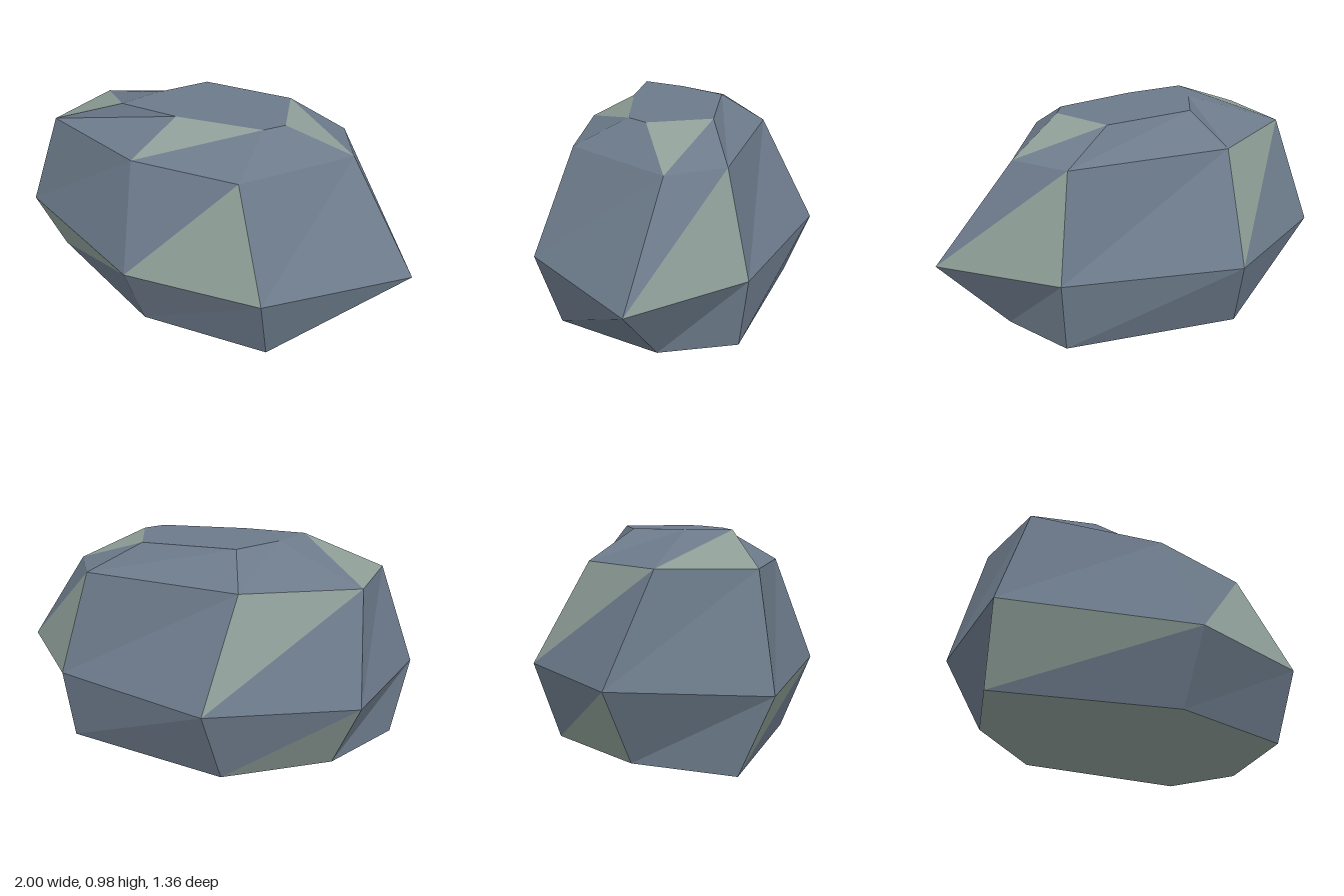
import * as THREE from 'three';

// Four seven-sided rings of the boulder, each at one height; points are [x, z]
const rings = [
  { y: 0, pts: [[-0.94, 0.19], [-0.17, 0.53], [0.475, 0.47], [0.68, -0.04], [0.545, -0.395], [-0.285, -0.555], [-0.73, -0.235]] },
  { y: 0.345, pts: [[-1, 0.325], [-0.168, 0.675], [0.5, 0.583], [1, 0.035], [0.58, -0.435], [-0.235, -0.68], [-0.87, -0.355]] },
  { y: 0.835, pts: [[-0.83, 0.285], [-0.235, 0.477], [0.3, 0.43], [0.635, -0.065], [0.48, -0.32], [-0.31, -0.41], [-0.81, -0.14]] },
  { y: 0.98, pts: [[-0.445, 0.235], [-0.14, 0.235], [0.28, 0.165], [0.345, 0.07], [0.23, -0.22], [-0.23, -0.2], [-0.37, 0.03]] },
];
const SIDES = 7;

// Mossy facets, named by band, side, and lower (a) or upper (b) triangle
const mossy = new Set(['0-0b', '0-5a', '1-1a', '1-3a', '1-5b', '2-1b', '2-3b', '2-6a']);

function corner(ring, k) {
  const [x, z] = rings[ring].pts[k % SIDES];
  return [x, rings[ring].y, z];
}

function facetMesh(name, corners, material) {
  const geometry = new THREE.BufferGeometry();
  geometry.setAttribute('position', new THREE.Float32BufferAttribute(corners.flat(), 3));
  geometry.computeVertexNormals();
  const mesh = new THREE.Mesh(geometry, material);
  mesh.name = name;
  return mesh;
}

export function createModel() {
  const slate = new THREE.MeshStandardMaterial({ color: 0x6c7a8a });
  slate.name = 'slate';
  const moss = new THREE.MeshStandardMaterial({ color: 0x8d9d96 });
  moss.name = 'moss grey';

  const stoneFacets = [];
  const mossFacets = [];

  // Side bands: two triangles per side
  for (let band = 0; band < rings.length - 1; band++) {
    for (let k = 0; k < SIDES; k++) {
      const a = corner(band, k), b = corner(band, k + 1);
      const c = corner(band + 1, k + 1), d = corner(band + 1, k);
      (mossy.has(`${band}-${k}a`) ? mossFacets : stoneFacets).push(a, b, c);
      (mossy.has(`${band}-${k}b`) ? mossFacets : stoneFacets).push(a, c, d);
    }
  }

  // Flat top and underside
  const top = [];
  const base = [];
  for (let k = 1; k < SIDES - 1; k++) {
    // the top starts at its second corner, keeping the shallow notch clean
    top.push(corner(3, 1), corner(3, k + 1), corner(3, k + 2));
    base.push(corner(0, 0), corner(0, k + 1), corner(0, k));
  }

  const rock = new THREE.Group();
  rock.name = 'rock';
  rock.add(
    facetMesh('stoneFacets', stoneFacets, slate),
    facetMesh('mossFacets', mossFacets, moss),
    facetMesh('flatTop', top, slate),
    facetMesh('underside', base, moss),
  );
  return rock;
}
